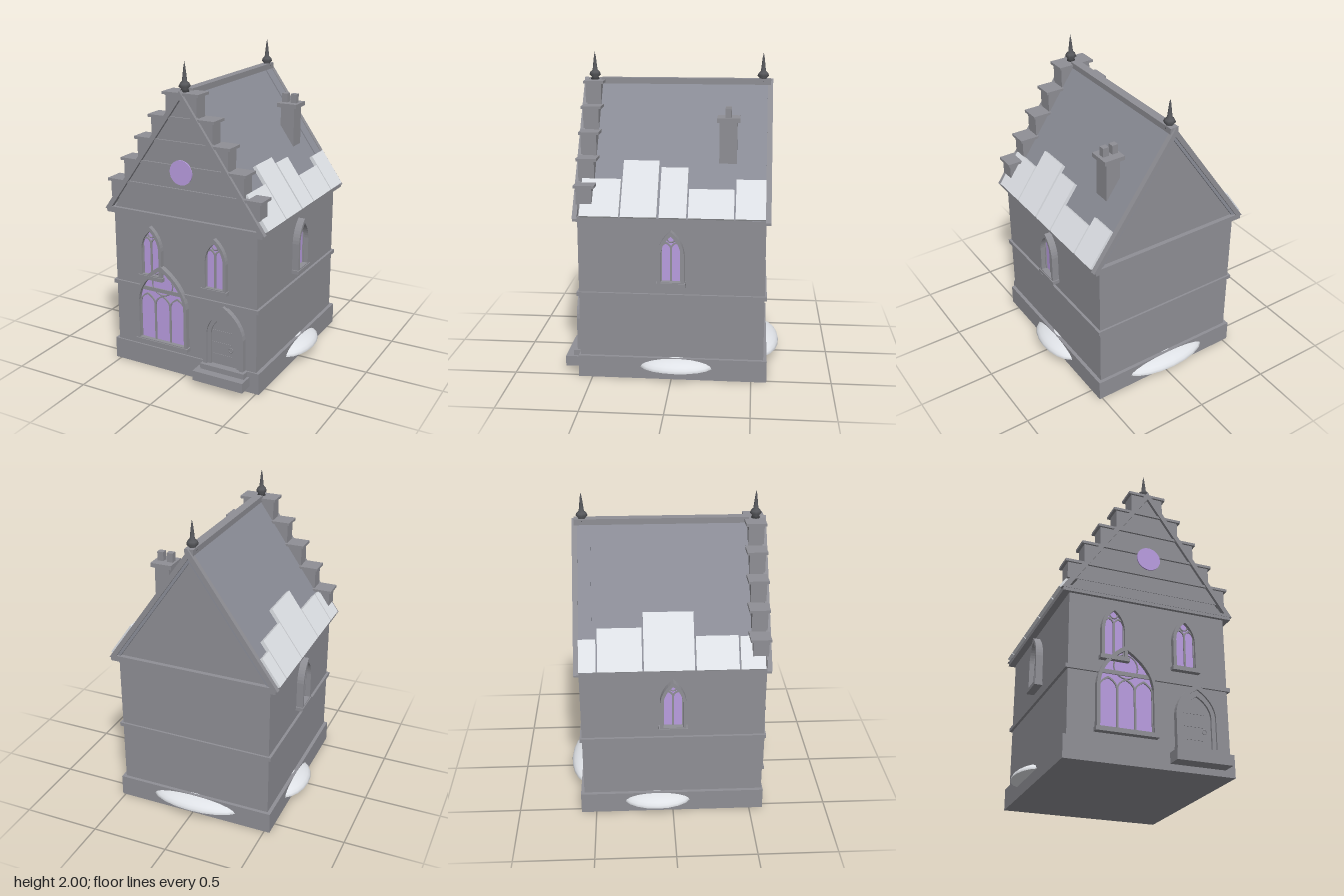
import * as THREE from 'three';

const mat = (name, color) => {
  const m = new THREE.MeshStandardMaterial({ color });
  m.name = name;
  return m;
};

// Pointed arch outline, half width w, from y0 up to spring line and apex
function arch(T, w, y0, spring, apex) {
  const s = new T(), c = spring + (apex - spring) * 0.6;
  s.moveTo(-w, y0);
  s.lineTo(w, y0);
  s.lineTo(w, spring);
  s.quadraticCurveTo(w * 0.92, c, 0, apex);
  s.quadraticCurveTo(-w * 0.92, c, -w, spring);
  s.lineTo(-w, y0);
  return s;
}

const polygon = (pts) => new THREE.Shape(pts.map(([x, y]) => new THREE.Vector2(x, y)));

export function createModel() {
  const stone = mat('stone', 0x8f8f95);
  const slate = mat('slate', 0x8b8d97);
  const snow = mat('snow', 0xe2e5ea);
  const glass = mat('violet glass', 0xb99de0);
  const iron = mat('dark iron', 0x58595d);

  const model = new THREE.Group();
  model.name = 'steppedGableHouse';
  const house = new THREE.Group();
  house.name = 'house';
  house.position.x = -0.008;
  model.add(house);

  const add = (name, geo, m, parent = house) => {
    const mesh = new THREE.Mesh(geo, m);
    mesh.name = name;
    parent.add(mesh);
    return mesh;
  };
  // Box given by its minimum and maximum on each axis
  const box = (name, x0, x1, y0, y1, z0, z1, m = stone, parent = house) => {
    const mesh = add(name, new THREE.BoxGeometry(x1 - x0, y1 - y0, z1 - z0), m, parent);
    mesh.position.set((x0 + x1) / 2, (y0 + y1) / 2, (z0 + z1) / 2);
    return mesh;
  };
  const extrude = (name, shape, z0, z1, m = stone, parent = house) => {
    const geo = new THREE.ExtrudeGeometry(shape, { depth: z1 - z0, bevelEnabled: false, curveSegments: 8 });
    geo.translate(0, 0, z0);
    return add(name, geo, m, parent);
  };

  // Walls and bands
  box('plinth', -0.528, 0.528, 0, 0.14, -0.597, 0.587);
  box('walls', -0.505, 0.505, 0.14, 1.03, -0.575, 0.577);
  box('stringCourse', -0.522, 0.522, 0.535, 0.56, -0.588, 0.59);
  box('cornice', -0.548, 0.548, 1.02, 1.05, -0.603, 0.598);

  // Roof
  const APEX = 1.83, SLOPE = 1.43;
  const roofY = (d) => APEX - SLOPE * d;
  extrude('gableWalls', polygon([[-0.51, 1.04], [0.51, 1.04], [0, 1.77]]), -0.575, 0.577);
  extrude('roof', polygon([[-0.545, 1.04], [-0.5, 1.04], [0, 1.755], [0.5, 1.04], [0.545, 1.04], [0, 1.82]]), -0.59, 0.485, slate);
  extrude('rearRoofBand', polygon([[-0.55, 1.045], [-0.52, 1.045], [0, 1.79], [0.52, 1.045], [0.55, 1.045], [0, 1.832]]), -0.6, -0.49, slate);
  box('ridgeCap', -0.028, 0.028, 1.8, 1.837, -0.59, 0.49);

  // Raking trim on both gables
  const rake = polygon([[-0.56, 1.04], [0.56, 1.04], [0, 1.838]]);
  rake.holes.push(new THREE.Path([[-0.51, 1.058], [0, 1.785], [0.51, 1.058]].map(([x, y]) => new THREE.Vector2(x, y))));
  extrude('frontRake', rake, 0.57, 0.6);
  extrude('rearRake', rake, -0.603, -0.57);

  // Stepped front parapet: one block and one cap per step
  for (let i = 0; i < 5; i++) {
    const top = 1.24 + i * 0.146, half = 0.537 - i * 0.1035;
    box('parapetStep', -half + 0.017, half - 0.017, top - (i ? 0.146 : 0.12), top - 0.015, 0.482, 0.58);
    box('parapetCap', -half, half, top - 0.017, top, 0.465, 0.592);
  }

  // Finials
  const spire = [[0, 1.82], [0.03, 1.82], [0.022, 1.84], [0.037, 1.855], [0.03, 1.872], [0.016, 1.885],
    [0.012, 1.92], [0.006, 1.97], [0, 2]].map(([x, y]) => new THREE.Vector2(x, y));
  for (const z of [0.535, -0.54]) add('finial', new THREE.LatheGeometry(spire, 8), iron).position.z = z;

  // Chimney
  box('chimneyShaft', 0.235, 0.33, 1.35, 1.61, -0.388, -0.28);
  box('chimneyCap', 0.212, 0.35, 1.605, 1.632, -0.405, -0.265);
  for (const x of [0.225, 0.288]) box('chimneyPot', x, x + 0.04, 1.63, 1.69, -0.352, -0.314);

  // Snow sheets along the eaves: rear z, front z, inner distance from the ridge
  const sheets = {
    1: [[-0.57, -0.39, 0.4], [-0.38, -0.105, 0.438], [-0.095, 0.07, 0.358], [0.085, 0.305, 0.333], [0.315, 0.555, 0.405]],
    '-1': [[-0.572, -0.467, 0.432], [-0.458, -0.188, 0.394], [-0.178, 0.13, 0.34], [0.14, 0.4, 0.427], [0.41, 0.56, 0.43]],
  };
  const pitch = Math.atan(SLOPE);
  for (const s of [1, -1]) for (const [z0, z1, inner] of sheets[s]) {
    const mid = (inner + 0.547) / 2, len = (0.547 - inner) / Math.cos(pitch);
    const sheet = add('roofSnow', new THREE.BoxGeometry(len, 0.024, z1 - z0), snow);
    sheet.position.set(s * (mid + 0.008), roofY(mid) + 0.006, (z0 + z1) / 2);
    sheet.rotation.z = -s * pitch;
  }

  // Snow drifts resting against the plinth
  const drift = (x, z, rx, rz) => {
    const d = add('snowDrift', new THREE.SphereGeometry(1, 20, 6, 0, Math.PI * 2, 0, Math.PI / 2), snow);
    d.scale.set(rx, 0.065, rz);
    d.position.set(x, 0.077, z);
    const base = add('driftBase', new THREE.CircleGeometry(1, 20).rotateX(Math.PI / 2), snow, d);
    base.position.y = 0;
  };
  drift(0.49, -0.03, 0.13, 0.235);
  drift(-0.48, -0.1, 0.135, 0.225);
  drift(-0.005, -0.55, 0.31, 0.13);

  // Window facing +z with its sill at the origin; lights = number of lancets
  function windowUnit(name, { half, height, spring, rim, depth, lights, lancetTop, ringY, ringR }) {
    const g = new THREE.Group();
    g.name = name;
    const w = half - rim, bar = 0.006;
    const frame = arch(THREE.Shape, half, 0, spring, height);
    frame.holes.push(arch(THREE.Path, w, 0.018, spring, height - rim * 1.5));
    extrude('frame', frame, -0.005, depth, stone, g);
    extrude('pane', arch(THREE.Shape, w + 0.003, 0.01, spring, height - rim * 1.4), 0, 0.006, glass, g);
    box('sill', -half - 0.008, half + 0.008, -0.012, 0.012, -0.005, depth + 0.006, stone, g);
    const lw = w / lights;
    for (let i = 0; i < lights; i++) {
      const s = arch(THREE.Shape, lw + bar / 2, 0.01, lancetTop - lw * 1.1, lancetTop + bar);
      s.holes.push(arch(THREE.Path, lw - bar, 0.014, lancetTop - lw * 1.1, lancetTop - bar));
      extrude('lancet', s, 0.004, 0.014, stone, g).position.x = (2 * i + 1 - lights) * lw;
    }
    const ring = add('tracery', new THREE.TorusGeometry(ringR, bar * 0.8, 6, 20), stone, g);
    ring.position.set(0, ringY, 0.008);
    house.add(g);
    return g;
  }
  const small = { half: 0.082, height: 0.34, spring: 0.19, rim: 0.02, depth: 0.03, lights: 2, lancetTop: 0.262, ringY: 0.288, ringR: 0.024 };
  windowUnit('upperRightWindow', small).position.set(-0.229, 0.63, 0.577);
  windowUnit('upperLeftWindow', small).position.set(0.228, 0.63, 0.577);
  for (const s of [1, -1]) {
    const side = windowUnit('sideWindow', { ...small, depth: 0.045 });
    side.position.set(s * 0.505, 0.63, 0);
    side.rotation.y = s * Math.PI / 2;
  }
  windowUnit('greatWindow', {
    half: 0.185, height: 0.535, spring: 0.28, rim: 0.02, depth: 0.034, lights: 3, lancetTop: 0.325, ringY: 0.405, ringR: 0.075,
  }).position.set(-0.154, 0.187, 0.577);

  // Round gable window
  const rose = add('roundWindow', new THREE.CylinderGeometry(0.077, 0.077, 0.008, 28).rotateX(Math.PI / 2), glass);
  rose.position.set(0, 1.345, 0.592);

  // Door with stepped surround and hinges
  const door = new THREE.Group();
  door.name = 'door';
  door.position.set(0.291, 0.13, 0.577);
  house.add(door);
  const surround = (name, outer, inner, z) => {
    const s = arch(THREE.Shape, ...outer);
    s.holes.push(arch(THREE.Path, ...inner));
    extrude(name, s, -0.005, z, stone, door);
  };
  surround('outerSurround', [0.14, 0, 0.22, 0.415], [0.115, 0.001, 0.22, 0.38], 0.034);
  surround('innerSurround', [0.117, 0, 0.22, 0.382], [0.09, 0.001, 0.22, 0.34], 0.022);
  extrude('doorLeaf', arch(THREE.Shape, 0.092, 0, 0.22, 0.342), -0.002, 0.008, stone, door);
  for (const y of [0.07, 0.15, 0.23]) box('hinge', -0.085, 0.05, y, y + 0.01, 0.006, 0.011, stone, door);
  add('doorRing', new THREE.TorusGeometry(0.014, 0.003, 6, 16), stone, door).position.set(0.046, 0.125, 0.013);

  // Door steps
  box('upperStep', 0.142, 0.448, 0.1, 0.14, 0.57, 0.632);
  box('lowerStep', 0.114, 0.464, 0.04, 0.105, 0.57, 0.682);

  return model;
}
